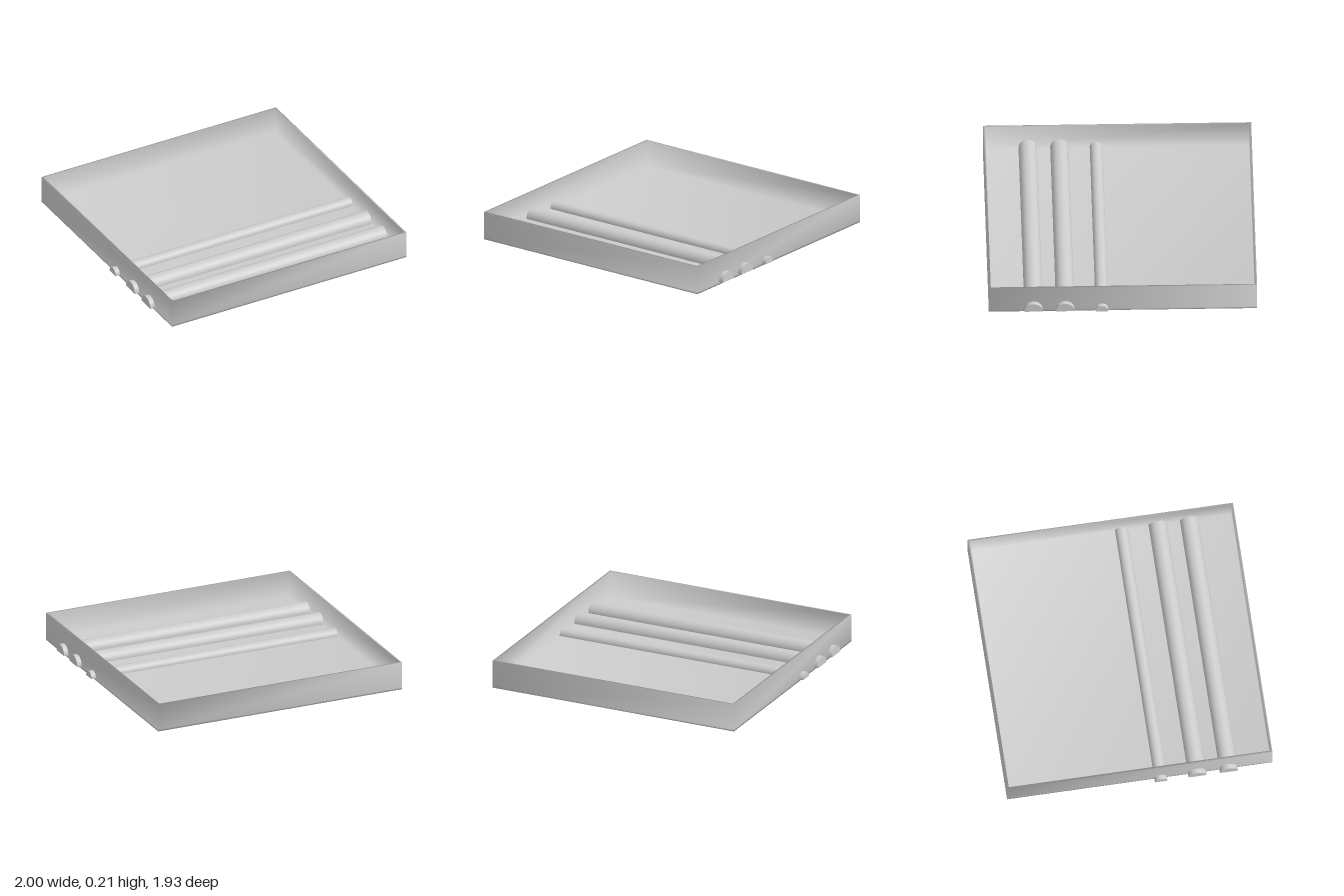
import * as THREE from 'three';

const grey = new THREE.MeshStandardMaterial({ color: 0xcccccc });
grey.name = 'plain grey';

// Thin-walled open tray: square rings from the underside, up the wall and down to the floor
function trayGeometry(half, height, wall, floor) {
  const inner = half - wall;
  const rings = [[half, 0], [half, floor], [half, height], [inner, height], [inner, floor]];
  const corners = [[1, 1], [1, -1], [-1, -1], [-1, 1]];
  const positions = [];
  const index = [];
  for (const [r, y] of rings) for (const [sx, sz] of corners) positions.push(sx * r, y, sz * r);
  for (let i = 0; i < rings.length - 1; i++) {
    for (let j = 0; j < 4; j++) {
      const a = i * 4 + j;
      const b = i * 4 + (j + 1) % 4;
      index.push(a, b, b + 4, a, b + 4, a + 4);
    }
  }
  const last = (rings.length - 1) * 4;
  index.push(0, 2, 1, 0, 3, 2); // underside
  index.push(last, last + 1, last + 2, last, last + 2, last + 3); // floor
  const geometry = new THREE.BufferGeometry();
  geometry.setAttribute('position', new THREE.Float32BufferAttribute(positions, 3));
  geometry.setIndex(index);
  geometry.computeVertexNormals();
  return geometry;
}

// Half-round bar lying along x, flat side down
function createBar(name, radius, y, z) {
  const bar = new THREE.Group();
  bar.name = name;
  const length = 2;
  const round = new THREE.CylinderGeometry(radius, radius, length, 24, 1, false, 0, Math.PI);
  round.rotateZ(Math.PI / 2);
  const top = new THREE.Mesh(round, grey);
  top.name = name + 'Round';
  const flat = new THREE.PlaneGeometry(length, radius * 2);
  flat.rotateX(Math.PI / 2);
  const under = new THREE.Mesh(flat, grey);
  under.name = name + 'Underside';
  bar.add(top, under);
  bar.position.set(0, y, z);
  return bar;
}

export function createModel() {
  const model = new THREE.Group();
  model.name = 'trayWithBars';

  const tray = new THREE.Mesh(trayGeometry(0.965, 0.208, 0.015, 0.015), grey);
  tray.name = 'tray';
  model.add(tray);

  // Bars run across the tray and poke out through both side walls
  model.add(createBar('frontBar', 0.066, 0.021, 0.643));
  model.add(createBar('middleBar', 0.066, 0.021, 0.415));
  model.add(createBar('rearBar', 0.046, 0.016, 0.151));
  return model;
}
